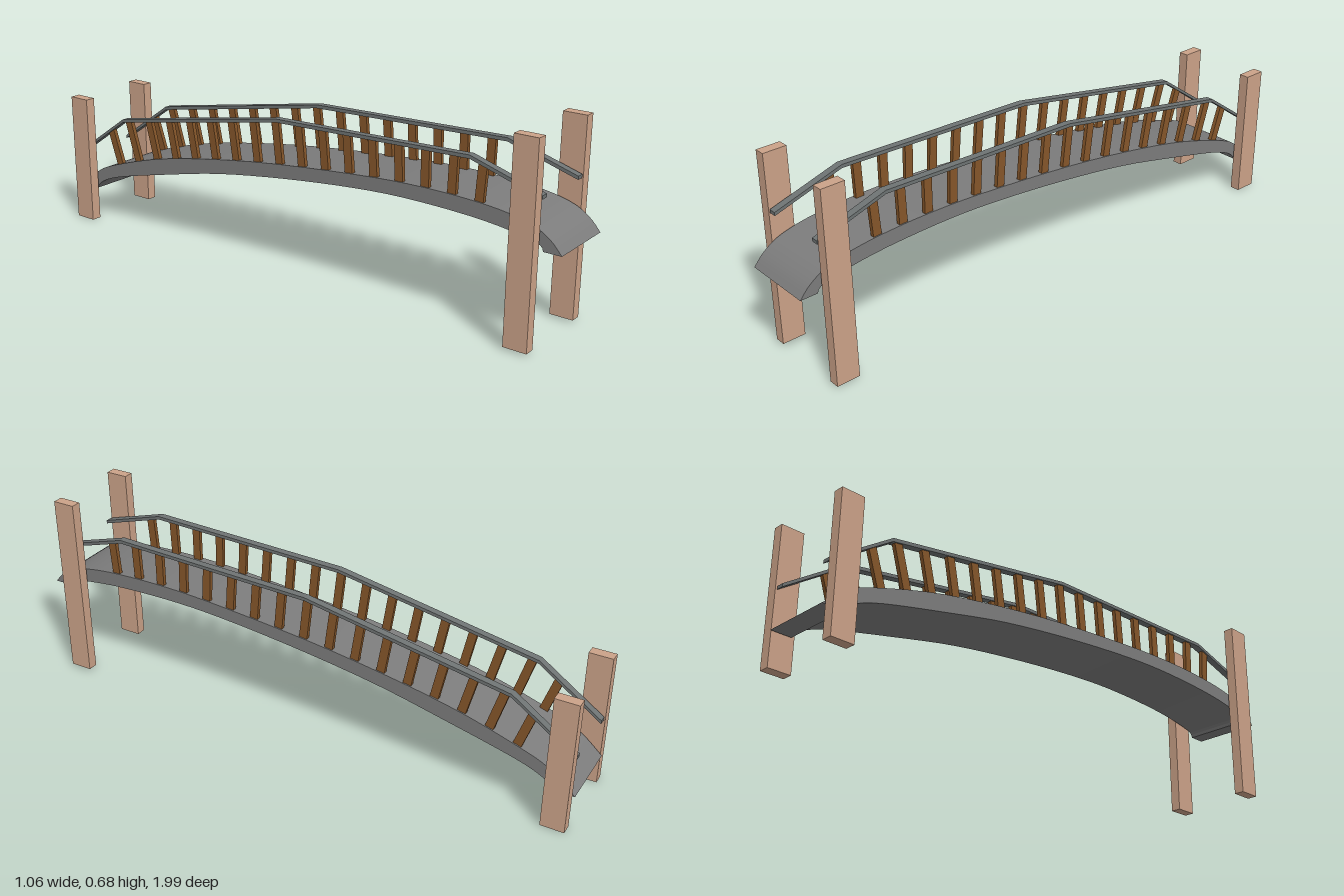
import * as THREE from 'three';
import { toCreasedNormals } from 'three/addons/utils/BufferGeometryUtils.js';

const mat = (name, color) => {
  const m = new THREE.MeshStandardMaterial({ color });
  m.name = name;
  return m;
};
const curve = (pts) => new THREE.SplineCurve(pts.map(([z, y]) => new THREE.Vector2(z, y)));

// Profiles as [distance along the bridge, height]
const DECK_TOP = [[-1.01, 0.115], [-0.93, 0.182], [-0.836, 0.227], [-0.557, 0.308], [-0.15, 0.378], [0.28, 0.422],
  [0.55, 0.435], [0.78, 0.427], [0.92, 0.403], [0.99, 0.367], [1.03, 0.325]];
const DECK_UNDER = [[0.97, 0.325], [0.94, 0.35], [0.765, 0.376], [0.52, 0.385], [0.3, 0.377], [0, 0.347],
  [-0.3, 0.303], [-0.557, 0.247], [-0.8, 0.188], [-0.9, 0.15], [-0.936, 0.115]];
const RAIL = [[-1.0, 0.257], [-0.775, 0.412], [-0.04, 0.544], [0.71, 0.565], [0.957, 0.49]];

// Height of a polyline at a given distance
const heightAt = (pts, z) => {
  let i = 1;
  while (i < pts.length - 1 && pts[i][0] < z) i++;
  const [z0, y0] = pts[i - 1], [z1, y1] = pts[i];
  return y0 + (y1 - y0) * (z - z0) / (z1 - z0);
};

// Side profile swept across the bridge, centred on x = 0
const sweep = (points, width) => {
  const geo = new THREE.ExtrudeGeometry(new THREE.Shape(points), { depth: width, bevelEnabled: false });
  geo.translate(0, 0, -width / 2);
  geo.rotateY(-Math.PI / 2);
  return geo;
};

export function createModel() {
  const stone = mat('grey deck', 0x7c7c7c);
  const railGrey = mat('rail grey', 0x6e7373);
  const wood = mat('brown baluster wood', 0x85562a);
  const postWood = mat('pale post wood', 0xcba288);

  const model = new THREE.Group();
  model.name = 'footbridge';
  const bridge = new THREE.Group();
  bridge.name = 'bridge';
  bridge.rotation.y = THREE.MathUtils.degToRad(22.3);
  model.add(bridge);

  const add = (name, geo, material, x, y, z) => {
    const mesh = new THREE.Mesh(geo, material);
    mesh.name = name;
    mesh.position.set(x, y, z);
    bridge.add(mesh);
    return mesh;
  };
  const cx = 0.01;

  // Arched deck with pointed ends
  const top = curve(DECK_TOP).getPoints(40).map((p) => [p.x, p.y]);
  const outline = [...top, ...curve(DECK_UNDER).getPoints(40).map((p) => [p.x, p.y])]
    .map(([z, y]) => new THREE.Vector2(z, y));
  add('deck', toCreasedNormals(sweep(outline, 0.25), 0.4), stone, cx, 0, 0);

  // Handrail strip
  const railHalf = 0.006;
  const railOutline = [
    ...RAIL.map(([z, y]) => new THREE.Vector2(z, y + railHalf)),
    ...RAIL.slice().reverse().map(([z, y]) => new THREE.Vector2(z, y - railHalf)),
  ];
  const railGeo = sweep(railOutline, 0.026);

  for (const side of [-1, 1]) {
    const label = side > 0 ? 'left' : 'right';
    add(label + 'Handrail', railGeo, railGrey, cx + side * 0.113, 0, 0);

    // Balusters stand square to the arch and stop at the handrail
    for (let i = 0; i < 17; i++) {
      const z = -0.805 + i * (1.55 / 16);
      const y = heightAt(top, z);
      const lean = Math.atan2(heightAt(top, z + 0.05) - heightAt(top, z - 0.05), 0.1);
      let len = 0.13;
      for (let k = 0; k < 8; k++) len = (heightAt(RAIL, z - Math.sin(lean) * len) - y) / Math.cos(lean);
      const sink = 0.012;
      const mid = (len - sink) / 2;
      const bar = add(label + 'Baluster', new THREE.BoxGeometry(0.0145, len + sink, 0.03), wood,
        cx + side * 0.113, y + Math.cos(lean) * mid, z - Math.sin(lean) * mid);
      bar.rotation.x = -lean;
    }

    // Tall posts at both ends
    add(label + 'BackPost', new THREE.BoxGeometry(0.037, 0.477, 0.082), postWood, cx + side * 0.15, 0.2385, -0.962);
    add(label + 'FrontPost', new THREE.BoxGeometry(0.037, 0.672, 0.082), postWood, cx + side * 0.15, 0.344, 0.917);
  }
  return model;
}
